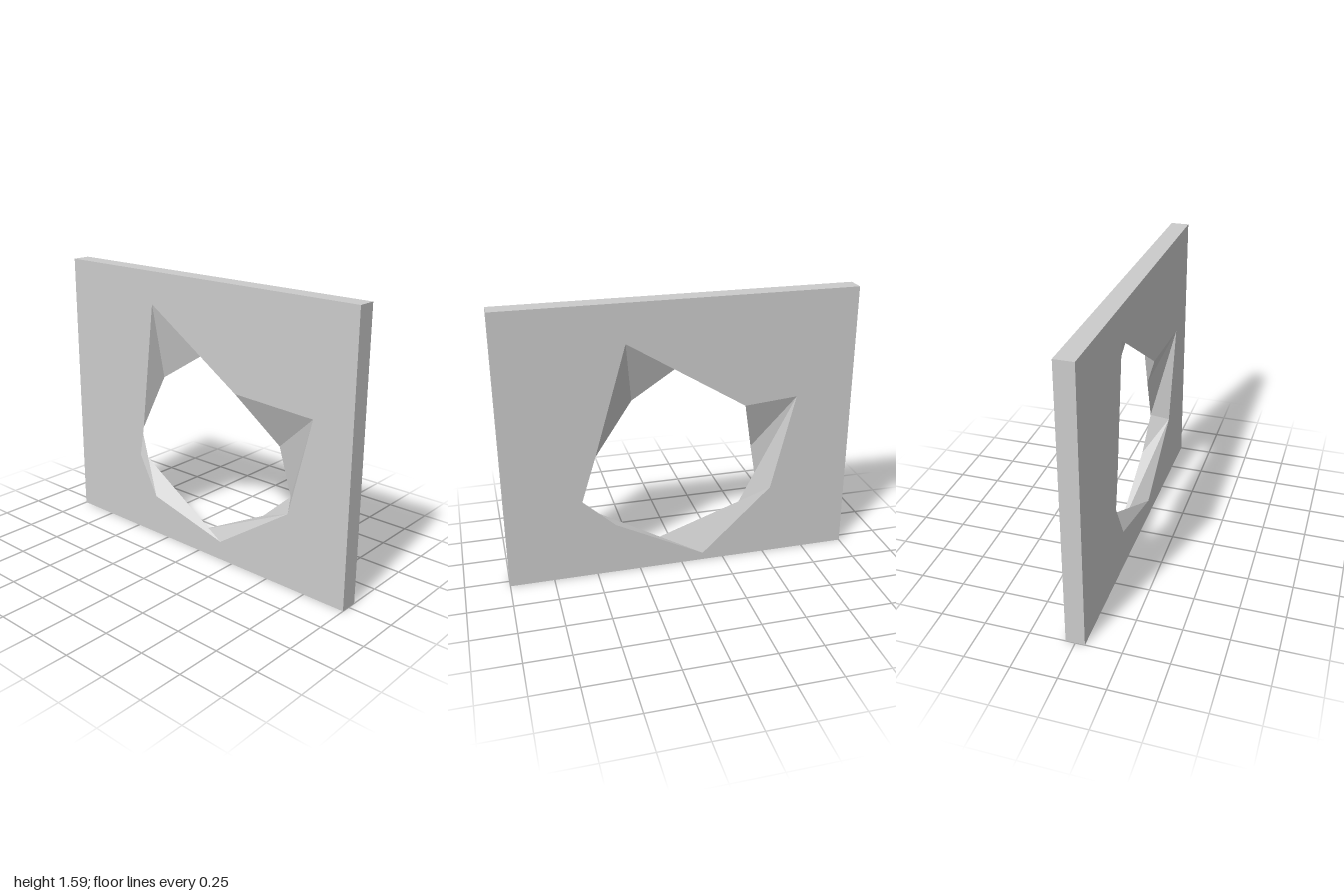
import * as THREE from 'three';

const WIDTH = 2, HEIGHT = 1.59, HALF = 0.052;

// Plate corners, counterclockwise from the front
const corners = [[-WIDTH / 2, 0], [WIDTH / 2, 0], [WIDTH / 2, HEIGHT], [-WIDTH / 2, HEIGHT]];

// Opening outlines on the front and back faces, both clockwise from the front
const frontHole = [[-0.35, 1.405], [0.26, 1.01], [0.765, 0.985], [0.63, 0.43],
  [0.165, 0.11], [-0.345, 0.24], [-0.47, 0.475], [-0.44, 0.655]];
const backHole = [[0.304, 1.37], [0.487, 0.743], [0.57, 0.477], [0.386, 0.306],
  [-0.127, 0.043], [-0.532, 0.425], [-0.668, 0.982], [-0.365, 0.956]];

const material = new THREE.MeshStandardMaterial({ color: 0xcccccc, flatShading: true });

function addMesh(group, name, geometry) {
  const mesh = new THREE.Mesh(geometry, material);
  mesh.name = name;
  group.add(mesh);
  return mesh;
}

// Rectangular face with the opening cut out
function faceGeometry(hole) {
  const toPoints = (list) => list.map(([x, y]) => new THREE.Vector2(x, y));
  const shape = new THREE.Shape(toPoints(corners));
  shape.holes.push(new THREE.Path(toPoints(hole)));
  return new THREE.ShapeGeometry(shape);
}

// Triangle band between a front and a back loop; each step advances one of them
function bandGeometry(front, back, steps) {
  const f = (i) => [...front[i % front.length], HALF];
  const b = (i) => [...back[i % back.length], -HALF];
  const positions = [];
  let i = 0, j = 0;
  for (const step of steps) {
    positions.push(...f(i), ...b(j), ...(step === 'f' ? f(++i) : b(++j)));
  }
  const geometry = new THREE.BufferGeometry();
  geometry.setAttribute('position', new THREE.Float32BufferAttribute(positions, 3));
  geometry.computeVertexNormals();
  return geometry;
}

export function createModel() {
  const group = new THREE.Group();
  group.name = 'plateWithTwistedOpening';

  // Front and back faces
  addMesh(group, 'frontFace', faceGeometry(frontHole)).position.z = HALF;
  const back = addMesh(group, 'backFace', faceGeometry(backHole.map(([x, y]) => [-x, y])));
  back.rotation.y = Math.PI;
  back.position.z = -HALF;

  // Outer edges of the plate
  addMesh(group, 'outerRim', bandGeometry(corners, corners, 'fbfbfbfb'));

  // Twisted, faceted wall joining the two outlines
  addMesh(group, 'openingWall', bandGeometry(frontHole, backHole, 'fbfbfbbfbfbffbfb'));

  return group;
}
